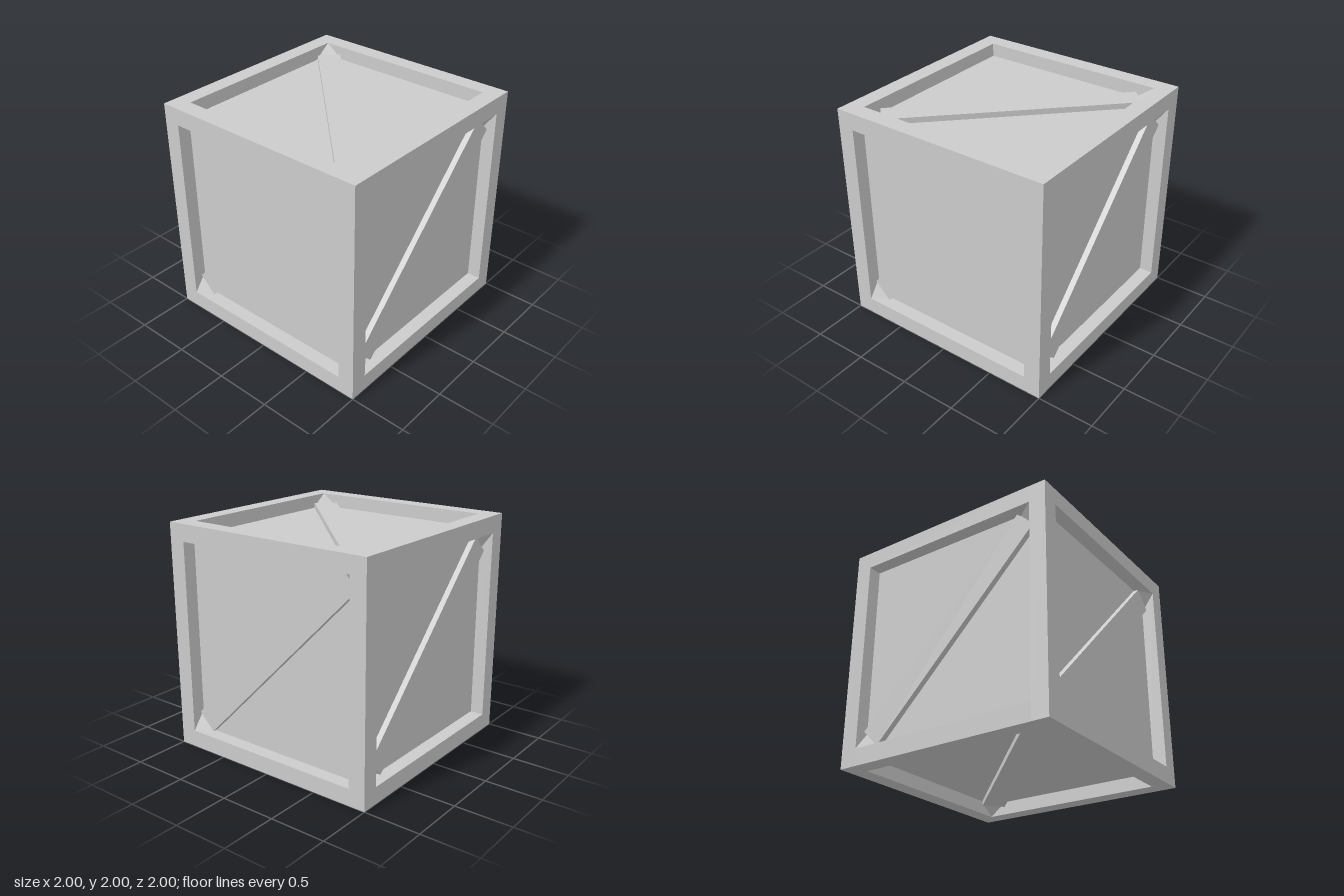
import * as THREE from 'three';
import { ConvexGeometry } from 'three/addons/geometries/ConvexGeometry.js';

const BEAM = 0.15;              // frame beam thickness
const INNER = 1 - BEAM;         // half size of each opening
const PANEL = 0.88;             // distance of the panels from the centre
const PLANK_H = 0.05;           // how far a plank stands out from its panel
const LEG = 0.16;               // corner block size along the frame

const material = new THREE.MeshStandardMaterial({ color: 0xcccccc, flatShading: true });

function part(name, geometry, parent) {
  const mesh = new THREE.Mesh(geometry, material);
  mesh.name = name;
  parent.add(mesh);
  return mesh;
}

// Posts and rails along the twelve edges of the cube
function createFrame() {
  const frame = new THREE.Group();
  frame.name = 'frame';
  const off = 1 - BEAM / 2;
  const post = new THREE.BoxGeometry(BEAM, 2, BEAM);
  const railX = new THREE.BoxGeometry(2 * INNER, BEAM, BEAM);
  const railZ = new THREE.BoxGeometry(BEAM, BEAM, 2 * INNER);
  for (const a of [-off, off]) {
    for (const b of [-off, off]) {
      part('cornerPost', post, frame).position.set(a, 0, b);
      part('crossRail', railX, frame).position.set(0, a, b);
      part('sideRail', railZ, frame).position.set(a, b, 0);
    }
  }
  return frame;
}

// Diagonal plank with a sloped block at each end, facing +z
function createBrace() {
  const brace = new THREE.Group();
  brace.name = 'brace';
  const plank = part('diagonalPlank', new THREE.BoxGeometry(2.155, 0.21, PLANK_H), brace);
  plank.position.z = PANEL + PLANK_H / 2;
  plank.rotation.z = Math.PI / 4;

  const block = new ConvexGeometry([
    new THREE.Vector3(INNER, INNER, PANEL),
    new THREE.Vector3(INNER - LEG, INNER, PANEL),
    new THREE.Vector3(INNER, INNER - LEG, PANEL),
    new THREE.Vector3(INNER, INNER, 1),
  ]);
  for (const turn of [0, Math.PI]) part('cornerBlock', block, brace).rotation.z = turn;
  return brace;
}

export function createModel() {
  const crate = new THREE.Group();
  crate.name = 'crate';
  const body = new THREE.Group();
  body.name = 'body';
  body.position.y = 1;
  crate.add(body);

  body.add(createFrame());
  part('panels', new THREE.BoxGeometry(2 * PANEL, 2 * PANEL, 2 * PANEL), body);

  // Braces on the four sides
  for (let i = 0; i < 4; i++) {
    const brace = createBrace();
    brace.rotation.y = i * Math.PI / 2;
    body.add(brace);
  }
  // Braces on top and bottom, running the other way
  for (const s of [-1, 1]) {
    const brace = createBrace();
    brace.rotation.set(s * Math.PI / 2, 0, Math.PI / 2);
    body.add(brace);
  }
  return crate;
}
